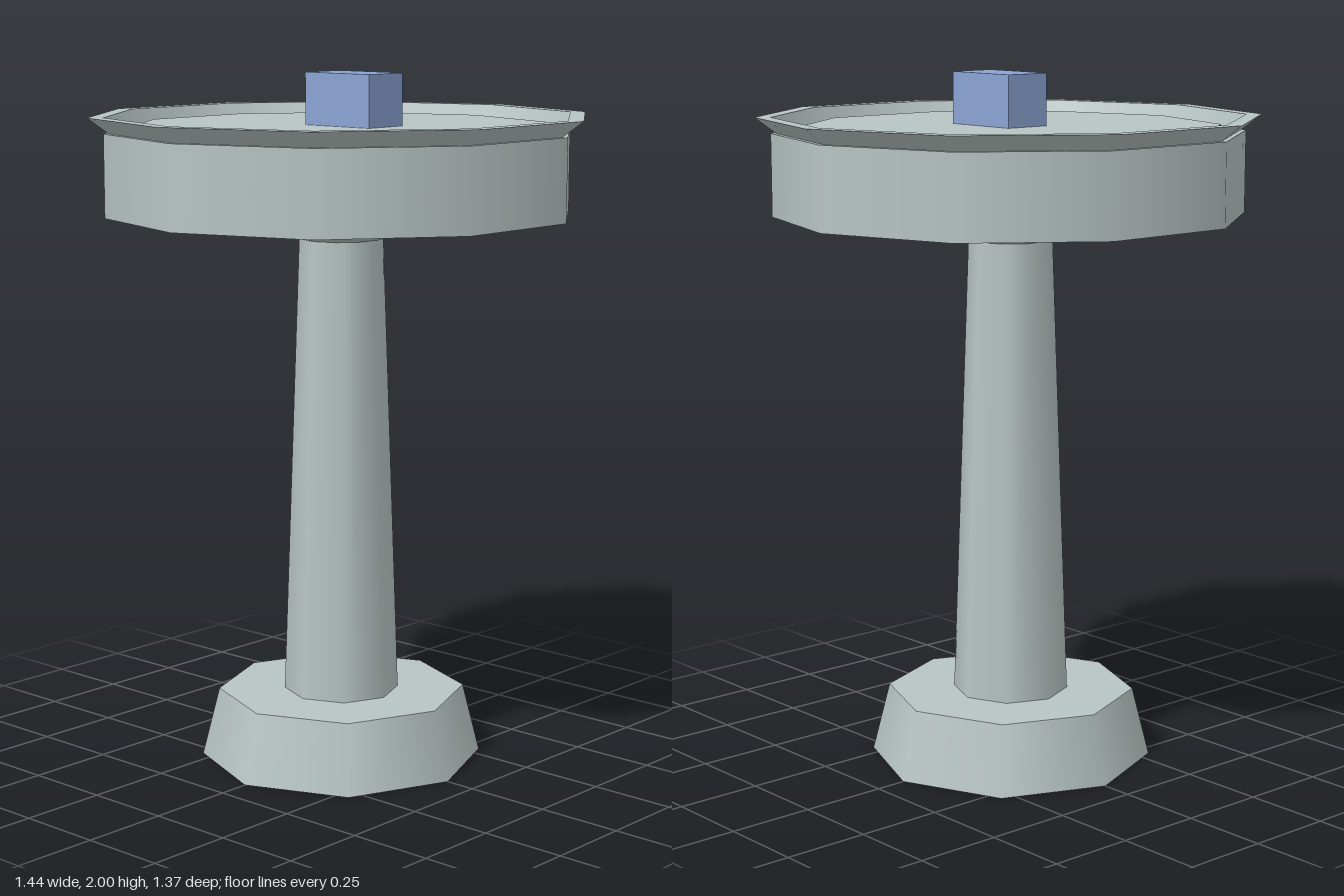
import * as THREE from 'three';

export function createModel() {
  const model = new THREE.Group();
  model.name = 'pedestalPlatform';

  const stone = new THREE.MeshStandardMaterial({ color: 0xb8c4c4 });
  stone.name = 'paleGrey';
  const blue = new THREE.MeshStandardMaterial({ color: 0x8ba4d4 });
  blue.name = 'softBlue';

  const add = (name, geometry, material = stone, parent = model) => {
    const mesh = new THREE.Mesh(geometry, material);
    mesh.name = name;
    parent.add(mesh);
    return mesh;
  };

  // Tapered prism standing between two heights, with a corner on the x axis
  const prism = (name, sides, bottomRadius, topRadius, y0, y1) => {
    const g = new THREE.CylinderGeometry(topRadius, bottomRadius, y1 - y0, sides);
    g.rotateY(Math.PI / 2);
    g.translate(0, (y0 + y1) / 2, 0);
    return add(name, g);
  };

  // Eight-sided foot and column
  prism('base', 8, 0.41, 0.36, 0, 0.2);
  prism('column', 8, 0.167, 0.12, 0.2, 1.54);

  // Ten-sided bowl with its supporting cone and raised floor
  prism('supportCone', 10, 0.12, 0.335, 1.53, 1.6);
  prism('drum', 10, 0.675, 0.675, 1.6, 1.835);
  prism('floorPlate', 10, 0.603, 0.603, 1.835, 1.852);

  // Flared rim: outer slope, flat top and inner wall, each with its own normals
  const rim = new THREE.Group();
  rim.name = 'rim';
  model.add(rim);
  const profile = [[0.66, 1.835], [0.72, 1.88], [0.675, 1.88], [0.655, 1.835]]
    .map(([r, y]) => new THREE.Vector2(r, y));
  ['rimOuterSlope', 'rimTop', 'rimInnerWall'].forEach((name, i) => {
    const g = new THREE.LatheGeometry([profile[i], profile[i + 1]], 10);
    g.rotateY(Math.PI / 2);
    add(name, g, stone, rim);
  });

  // Block resting on the floor, set towards the front
  const block = add('block', new THREE.BoxGeometry(0.142, 0.15, 0.24), blue);
  block.position.set(0, 1.925, 0.047);

  return model;
}
